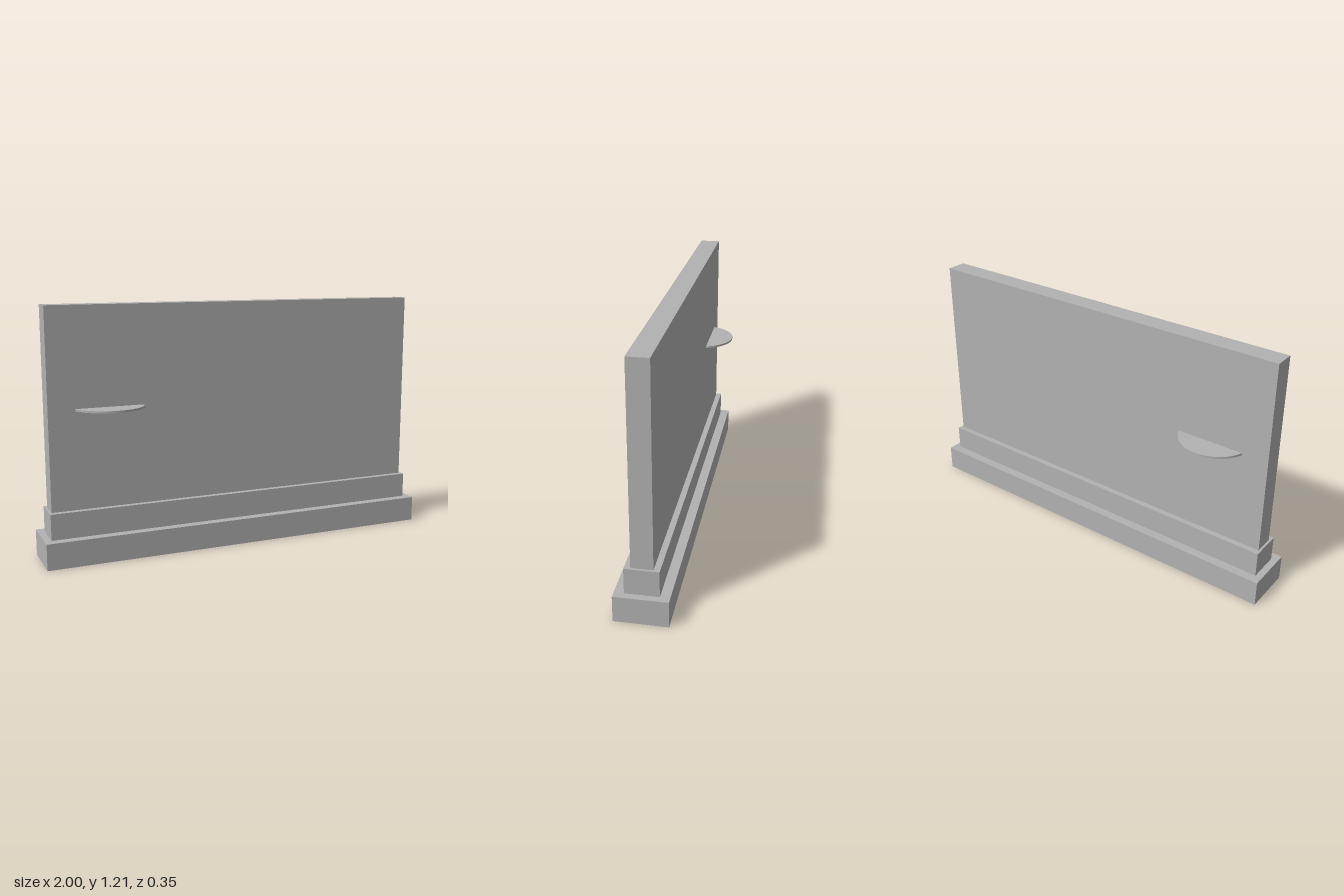
import * as THREE from 'three';

export function createModel() {
  const model = new THREE.Group();
  const grey = new THREE.MeshStandardMaterial({ color: 0xb2b2b2 });
  grey.name = 'plain grey';

  // Box resting on height y0
  const slab = (name, width, y0, y1, depth) => {
    const mesh = new THREE.Mesh(new THREE.BoxGeometry(width, y1 - y0, depth), grey);
    mesh.name = name;
    mesh.position.y = (y0 + y1) / 2;
    model.add(mesh);
  };

  // Stepped plinth and the wall panel on it
  slab('lowerPlinth', 2, 0, 0.127, 0.248);
  slab('upperPlinth', 1.934, 0.127, 0.252, 0.157);
  slab('wallPanel', 1.912, 0.252, 1.208, 0.1);

  // Thin round shelf passing through the wall
  const shelf = new THREE.Mesh(new THREE.CylinderGeometry(0.174, 0.174, 0.01, 64), grey);
  shelf.name = 'roundShelf';
  shelf.position.set(-0.66, 0.727, 0);
  model.add(shelf);

  return model;
}
